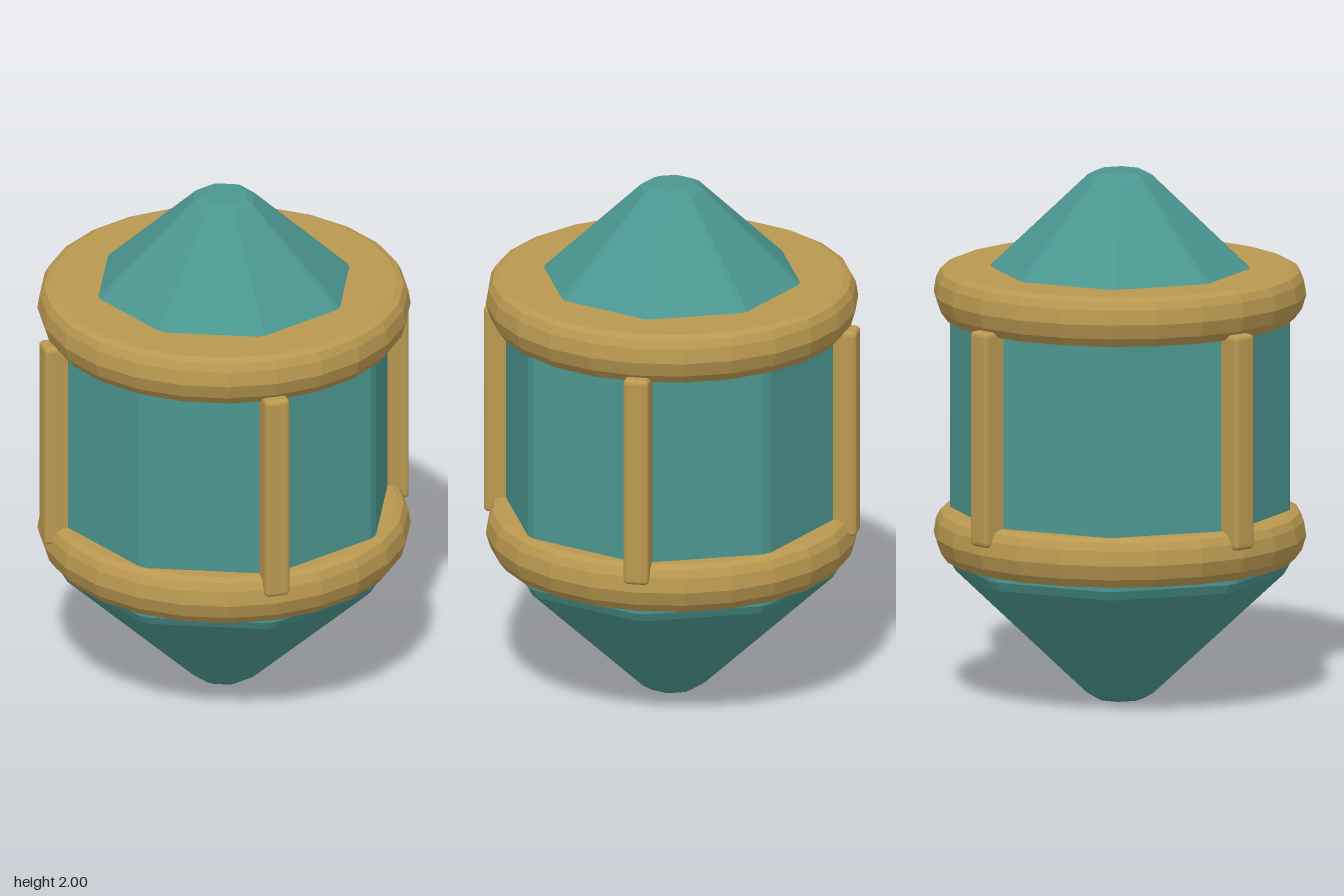
import * as THREE from 'three';
import { RoundedBoxGeometry } from 'three/addons/geometries/RoundedBoxGeometry.js';

const teal = new THREE.MeshStandardMaterial({ color: 0x4b9690, flatShading: true });
teal.name = 'teal';
const gold = new THREE.MeshStandardMaterial({ color: 0xba9850, flatShading: true });
gold.name = 'gold';

const points = (list) => list.map(([r, y]) => new THREE.Vector2(r, y));

// Octagonal lathe whose eight corners are narrow chamfers
function octagonLathe(profile, chamfer) {
  const pts = points(profile);
  const geo = new THREE.LatheGeometry(pts, 16);
  const pos = geo.attributes.position;
  for (let i = 0; i <= 16; i++) {
    const angle = Math.ceil(i / 2) * Math.PI / 4 + (i % 2 ? -chamfer : chamfer);
    pts.forEach((p, j) => {
      pos.setXYZ(i * pts.length + j, p.x * Math.sin(angle), p.y, p.x * Math.cos(angle));
    });
  }
  geo.computeVertexNormals();
  return geo;
}

export function createModel() {
  const model = new THREE.Group();
  model.name = 'lantern';
  const add = (name, geometry, material, y = 0) => {
    const mesh = new THREE.Mesh(geometry, material);
    mesh.name = name;
    mesh.position.y = y;
    model.add(mesh);
    return mesh;
  };

  // Eight-sided core with pointed, blunted ends
  add('body', octagonLathe([
    [0, 0], [0.09, 0], [0.125, 0.02], [0.615, 0.48], [0.635, 0.515], [0.635, 1.48],
    [0.615, 1.51], [0.12, 1.985], [0.09, 2], [0, 2],
  ], 0.03), teal);

  // Solid round bands with a bevelled rim
  const band = points([
    [0, -0.093], [0.655, -0.093], [0.68, -0.06], [0.697, -0.005],
    [0.688, 0.05], [0.672, 0.08], [0.645, 0.093], [0, 0.093],
  ]);
  add('lowerBand', new THREE.LatheGeometry(band, 24), gold, 0.628);
  add('upperBand', new THREE.LatheGeometry(band, 24), gold, 1.542);

  // Four upright bars joining the bands
  for (let i = 0; i < 4; i++) {
    const angle = i * Math.PI / 2;
    const bar = add('bar', new RoundedBoxGeometry(0.096, 0.816, 0.13, 2, 0.018), gold, 1.063);
    bar.position.x = Math.sin(angle) * 0.645;
    bar.position.z = Math.cos(angle) * 0.645;
    bar.rotation.y = angle;
  }
  return model;
}
